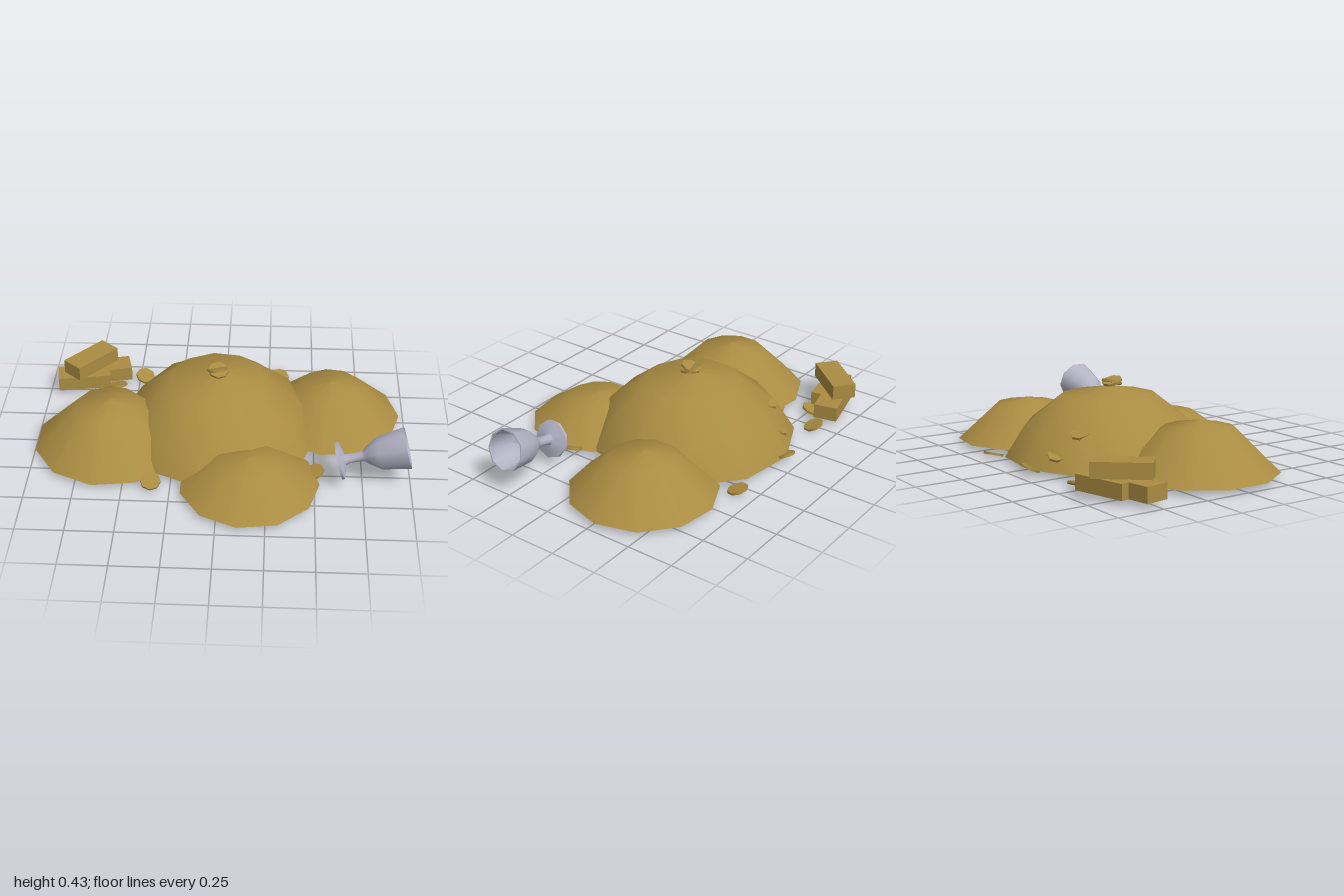
import * as THREE from 'three';
import { toCreasedNormals } from 'three/addons/utils/BufferGeometryUtils.js';

export function createModel() {
  const model = new THREE.Group();
  const gold = new THREE.MeshStandardMaterial({ color: 0xaa8c42 });
  const silver = new THREE.MeshStandardMaterial({ color: 0xb4b4c6 });
  gold.name = 'gold';
  silver.name = 'silver';

  function add(name, geometry, material, position, rotation = [0, 0, 0]) {
    const mesh = new THREE.Mesh(geometry, material);
    mesh.name = name;
    mesh.position.set(...position);
    mesh.rotation.set(...rotation);
    model.add(mesh);
  }

  // Turns [radius, height] pairs into a lathe with its first corner on +x
  function turned(points, sides) {
    return new THREE.LatheGeometry(points.map(([r, y]) => new THREE.Vector2(r, y)), sides, Math.PI / 2);
  }

  // Mounds: eleven-sided heaps with sloping flanks and a flat underside
  const SIDES = 11, GROUND = 0.027;
  const broad = [[1, 0], [0.81, 0.46], [0.465, 0.865], [0, 1]];
  const low = [[1, 0], [0.45, 0.86], [0, 1]];
  function mound(name, x, z, radius, height, profile) {
    const heap = turned(profile.map(([r, y]) => [r * radius, y * height]), SIDES);
    add(name, heap, gold, [x, GROUND, z]);
    const base = new THREE.CircleGeometry(radius, SIDES);
    base.rotateX(Math.PI / 2);
    add(name + 'Base', base, gold, [x, GROUND, z]);
  }
  mound('mainMound', -0.02, -0.138, 0.55, 0.363, broad);
  mound('rightMound', -0.597, 0.01, 0.41, 0.257, low);
  mound('leftMound', 0.592, -0.277, 0.383, 0.22, low);
  mound('frontMound', 0.16, 0.358, 0.367, 0.163, low);

  // Loose coins: x, y, z, tilt about x, tilt about z
  const coinGeometry = new THREE.CylinderGeometry(0.054, 0.054, 0.013, 8);
  const coins = [
    [-0.47, 0.026, -0.62, 0.3, -0.22],
    [0.31, 0.025, -0.65, 0.28, -0.1],
    [-0.1, 0.035, -0.67, 0.4, 0.1],
    [-0.62, 0.026, -0.52, -0.3, 0.12],
    [-0.53, 0.025, -0.34, -0.25, 0.1],
    [-0.35, 0.038, 0.38, 0.38, -0.08],
    [0.5, 0.035, 0.26, 0.15, 0.35],
    // half buried in the back slope
    [-0.2, 0.11, -0.565, -0.4, 0.35],
    [-0.25, 0.215, -0.462, -0.4, 0.2],
    // poking out underneath
    [-0.78, 0.034, 0.07, 0.1, -0.25],
    [0.58, 0.034, -0.4, -0.2, 0.15],
    // crossed pair on the summit
    [-0.02, 0.405, -0.12, 0.32, -0.1],
    [-0.025, 0.411, -0.122, -0.32, 0.1],
  ];
  for (const [x, y, z, tiltX, tiltZ] of coins) {
    add('coin', coinGeometry, gold, [x, y, z], [tiltX, 0, tiltZ]);
  }

  // Stacked bars: x, y, z, turn
  const barGeometry = new THREE.BoxGeometry(0.295, 0.08, 0.128);
  const bars = [
    [-0.812, 0.067, -0.53, 0.17],
    [-0.7, 0.067, -0.605, 0.24],
    [-0.773, 0.158, -0.57, 0.87],
  ];
  for (const [x, y, z, turn] of bars) {
    add('bar', barGeometry, gold, [x, y, z], [0, turn, 0]);
  }

  // Goblet lying at a slant: foot, stem, hollow cup
  const goblet = turned([
    [0, 0], [0.1, 0], [0.1, 0.014], [0.03, 0.034], [0.023, 0.06],
    [0.027, 0.13], [0.045, 0.15], [0.087, 0.215], [0.111, 0.362],
    [0.103, 0.362], [0.08, 0.22], [0, 0.165],
  ], 9);
  add('goblet', toCreasedNormals(goblet, 0.85), silver, [0.622, 0.135, 0.288], [0, 0, -Math.PI / 2 + 0.27]);

  return model;
}
